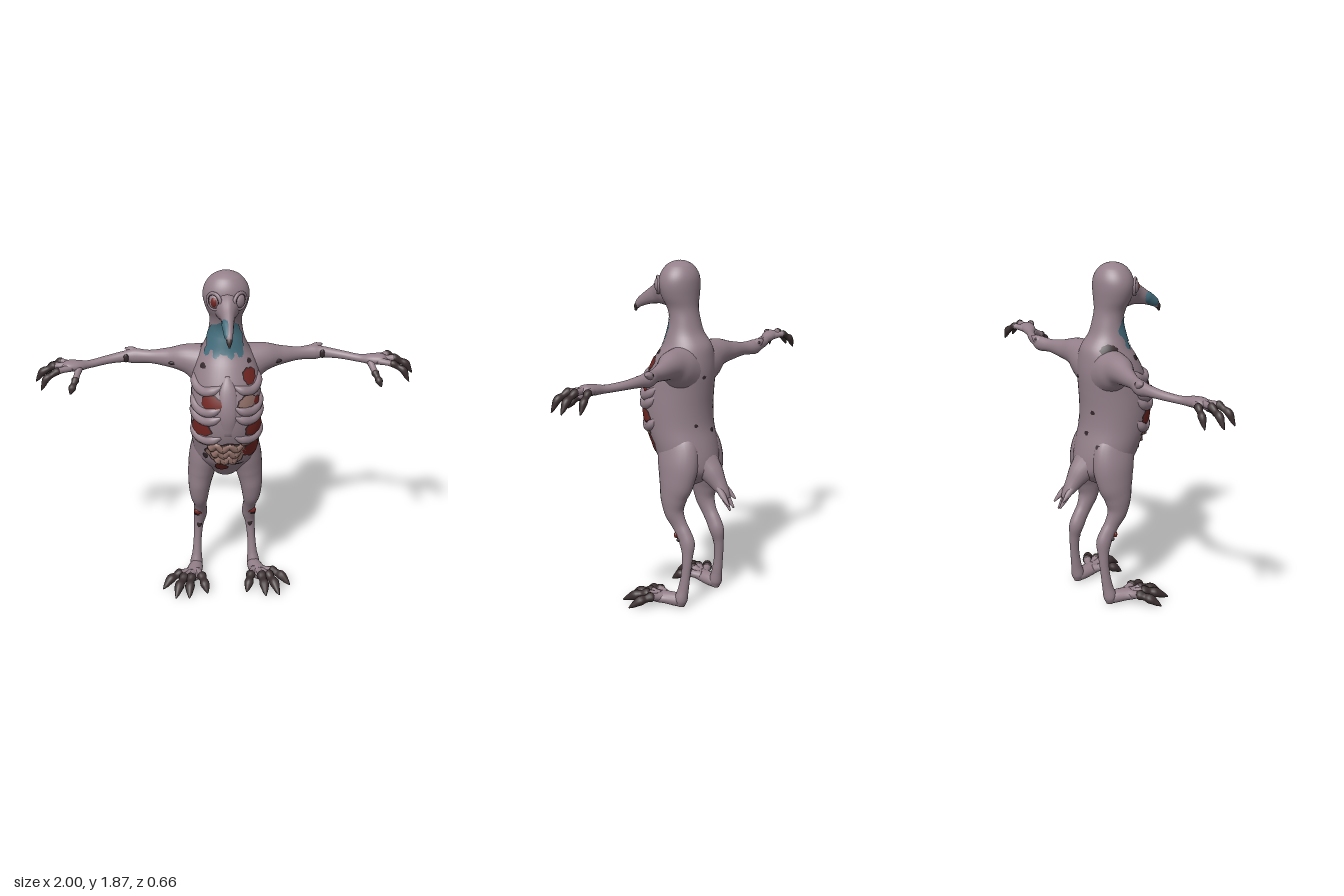
import * as THREE from 'three';

const paint = (name, color) => Object.assign(new THREE.MeshStandardMaterial({ color }), { name });
const skin = paint('mauve skin', 0x94808a);
const claw = paint('dark claw', 0x3c3031);
const teal = paint('teal throat', 0x456e7d);
const flesh = paint('red flesh', 0x732622);
const gut = paint('pale gut', 0x94726a);
const hole = paint('dark hole', 0x33272a);

const Z = new THREE.Vector3(0, 0, 1), Y = new THREE.Vector3(0, 1, 0);

function meshOf(name, geometry, material) {
  const m = new THREE.Mesh(geometry, material);
  m.name = name;
  return m;
}

function build(pos, idx) {
  const g = new THREE.BufferGeometry();
  g.setAttribute('position', new THREE.Float32BufferAttribute(pos, 3));
  g.setIndex(idx);
  g.computeVertexNormals();
  return g;
}

// Smooth closed tube through points [x, y, z, radius, second radius]
function sweep(name, pts, material, ref = Z, seg = 16, sub = 5) {
  const path = new THREE.CatmullRomCurve3(pts.map(p => new THREE.Vector3(p[0], p[1], p[2])));
  const rad = new THREE.CatmullRomCurve3(pts.map(p => new THREE.Vector3(p[3], p[4] ?? p[3], 0)), false, 'catmullrom', 0.4);
  const n = (pts.length - 1) * sub, pos = [], idx = [];
  for (let i = 0; i <= n; i++) {
    const c = path.getPoint(i / n), t = path.getTangent(i / n), r = rad.getPoint(i / n);
    const side = new THREE.Vector3().crossVectors(t, ref).normalize();
    const bin = new THREE.Vector3().crossVectors(side, t);
    for (let j = 0; j < seg; j++) {
      const a = j / seg * Math.PI * 2;
      const p = c.clone().addScaledVector(side, Math.cos(a) * Math.max(r.x, 0.001))
        .addScaledVector(bin, Math.sin(a) * Math.max(r.y, 0.001));
      pos.push(p.x, p.y, p.z);
      if (i < n) {
        const A = i * seg + j, B = i * seg + (j + 1) % seg;
        idx.push(A, A + seg, B, B, A + seg, B + seg);
      }
    }
  }
  const start = pos.length / 3, last = n * seg, e = pts[pts.length - 1];
  pos.push(pts[0][0], pts[0][1], pts[0][2], e[0], e[1], e[2]);
  for (let j = 0; j < seg; j++) {
    const k = (j + 1) % seg;
    idx.push(start, j, k, start + 1, last + k, last + j);
  }
  return meshOf(name, build(pos, idx), material);
}

// Body cross-sections: height, centre z, half width, half depth
const BODY = [
  [0.66, -0.06, 0.01, 0.01], [0.69, -0.055, 0.06, 0.07], [0.75, -0.06, 0.125, 0.13], [0.82, -0.03, 0.165, 0.165],
  [0.9, -0.005, 0.18, 0.175], [1.0, 0.03, 0.186, 0.185], [1.1, 0.04, 0.188, 0.19], [1.2, 0.033, 0.185, 0.19],
  [1.3, 0.01, 0.178, 0.175], [1.38, -0.008, 0.155, 0.153], [1.44, -0.02, 0.125, 0.128], [1.5, -0.008, 0.1, 0.098],
  [1.57, -0.004, 0.086, 0.08], [1.63, 0.01, 0.086, 0.083], [1.69, 0.025, 0.108, 0.098], [1.75, 0.03, 0.12, 0.104],
  [1.8, 0.03, 0.111, 0.098], [1.845, 0.03, 0.079, 0.072], [1.867, 0.03, 0.04, 0.037], [1.875, 0.03, 0.003, 0.003]];

function bodyAt(y) {
  let i = 0;
  while (i < BODY.length - 2 && y > BODY[i + 1][0]) i++;
  const slope = (k, c) => {
    const a = BODY[Math.max(k - 1, 0)], b = BODY[Math.min(k + 1, BODY.length - 1)];
    return (b[c] - a[c]) / (b[0] - a[0]);
  };
  const p = BODY[i], q = BODY[i + 1], h = q[0] - p[0], t = (y - p[0]) / h, t2 = t * t, t3 = t2 * t;
  return [1, 2, 3].map(c => (2 * t3 - 3 * t2 + 1) * p[c] + (t3 - 2 * t2 + t) * h * slope(i, c)
    + (3 * t2 - 2 * t3) * q[c] + (t3 - t2) * h * slope(i + 1, c));
}

// Point on the body; angle 0 is the front, positive towards +x
function onBody(angle, y, off = 0) {
  const [zc, rx, rz] = bodyAt(y);
  return [(rx + off) * Math.sin(angle), y, zc + (rz + off) * Math.cos(angle)];
}

function bodyGeometry(seg = 48, sub = 4) {
  const pos = [], idx = [], n = (BODY.length - 1) * sub;
  for (let i = 0; i <= n; i++) {
    const k = Math.min(Math.floor(i / sub), BODY.length - 2);
    const y = THREE.MathUtils.lerp(BODY[k][0], BODY[k + 1][0], i / sub - k);
    for (let j = 0; j < seg; j++) {
      pos.push(...onBody(j / seg * Math.PI * 2, y));
      if (i < n) {
        const a = i * seg + j, b = i * seg + (j + 1) % seg;
        idx.push(a, b, a + seg, b, b + seg, a + seg);
      }
    }
  }
  return build(pos, idx);
}

// Thin ragged patch hugging the body
function patch(name, angle, y, w, h, material, off = 0.004, rough = 0.07) {
  const seg = 32, rings = 5, pos = [...onBody(angle, y, off)], idx = [];
  for (let r = 1; r <= rings; r++) for (let j = 0; j < seg; j++) {
    const a = j / seg * Math.PI * 2;
    const k = r / rings * (1 + rough * Math.sin(3 * a + angle * 7 + y * 20) + rough * 0.8 * Math.sin(8 * a + y * 9));
    pos.push(...onBody(angle + w * k * Math.cos(a), y + h * k * Math.sin(a), off));
    const A = 1 + (r - 1) * seg + j, B = 1 + (r - 1) * seg + (j + 1) % seg;
    if (r === 1) idx.push(0, A, B);
    else idx.push(A - seg, A, B, A - seg, B, B - seg);
  }
  return meshOf(name, build(pos, idx), material);
}

function wound(angle, y, w, h, inner = flesh) {
  const g = new THREE.Group();
  g.name = 'wound';
  g.add(patch('woundRim', angle, y, w * 1.12, h * 1.14, hole, 0.003), patch('woundFlesh', angle, y, w, h, inner, 0.006));
  return g;
}

function blob(name, x, y, z, sx, sy, sz, material) {
  const m = meshOf(name, new THREE.SphereGeometry(1, 18, 12), material);
  m.position.set(x, y, z);
  m.scale.set(sx, sy, sz);
  return m;
}

// Digit with a skin base and a knuckled dark end
function digit(name, a, b, c, d, r, ref) {
  const g = new THREE.Group(), mid = (p, q, t) => p.map((v, i) => v + (q[i] - v) * t);
  g.name = name;
  g.add(sweep(name + 'Base', [[...a, r * 1.1], [...mid(a, b, 0.6), r * 0.9], [...b, r]], skin, ref, 12),
    sweep(name + 'Claw', [[...mid(a, b, 0.85), r * 0.8], [...b, r * 1.15], [...mid(b, c, 0.5), r * 0.85], [...c, r * 1.1],
      [...mid(c, d, 0.6), r * 0.65], [...d, r * 0.15]], claw, ref, 12));
  return g;
}

function limbs(s) {
  const g = new THREE.Group(), m = pts => pts.map(([x, ...rest]) => [s * x, ...rest]), p = (x, y, z) => [s * x, y, z];
  g.name = s > 0 ? 'leftLimbs' : 'rightLimbs';
  // Arm and hand
  g.add(sweep('arm', m([[0.04, 1.31, -0.05, 0.13, 0.105], [0.12, 1.335, -0.055, 0.112, 0.096], [0.2, 1.357, -0.065, 0.08, 0.074],
    [0.3, 1.355, -0.09, 0.052, 0.046], [0.4, 1.352, -0.112, 0.036, 0.03], [0.48, 1.35, -0.13, 0.041, 0.035],
    [0.53, 1.35, -0.125, 0.031, 0.028], [0.62, 1.345, -0.1, 0.023, 0.024], [0.72, 1.34, -0.055, 0.021, 0.022],
    [0.78, 1.345, -0.03, 0.028, 0.038], [0.83, 1.35, -0.02, 0.026, 0.042], [0.86, 1.35, -0.015, 0.008, 0.02]]), skin, Z, 24));
  g.add(sweep('elbowSpur', m([[0.47, 1.36, -0.13, 0.03], [0.5, 1.375, -0.148, 0.022], [0.53, 1.385, -0.158, 0.004]]), skin),
    blob('elbowWound', s * 0.525, 1.35, -0.1, 0.014, 0.024, 0.008, hole),
    blob('elbowTear', s * 0.485, 1.375, -0.155, 0.016, 0.012, 0.012, hole),
    blob('upperArmScar', s * 0.27, 1.345, -0.032, 0.03, 0.012, 0.008, hole));
  g.add(digit('finger', p(0.8, 1.345, -0.045), p(0.87, 1.352, -0.075), p(0.92, 1.32, -0.09), p(0.95, 1.265, -0.095), 0.018, Z),
    digit('finger', p(0.82, 1.35, -0.02), p(0.9, 1.352, -0.02), p(0.96, 1.32, -0.018), p(0.998, 1.265, -0.018), 0.019, Z),
    digit('finger', p(0.81, 1.345, 0), p(0.88, 1.345, 0.04), p(0.935, 1.315, 0.06), p(0.965, 1.255, 0.075), 0.018, Z),
    digit('thumb', p(0.77, 1.335, -0.01), p(0.787, 1.3, 0.055), p(0.803, 1.27, 0.09), p(0.815, 1.24, 0.105), 0.018, Z));
  // Leg
  g.add(sweep('leg', m([[0.09, 0.97, 0, 0.05, 0.08], [0.1, 0.89, -0.03, 0.076, 0.118], [0.115, 0.8, -0.045, 0.083, 0.12],
    [0.132, 0.7, -0.045, 0.074, 0.102],
    [0.143, 0.62, -0.035, 0.062, 0.078], [0.145, 0.54, -0.038, 0.05, 0.056], [0.14, 0.47, -0.07, 0.036, 0.044],
    [0.138, 0.42, -0.1, 0.036, 0.043], [0.138, 0.37, -0.122, 0.037, 0.043], [0.147, 0.3, -0.13, 0.027, 0.03],
    [0.155, 0.2, -0.125, 0.023, 0.026], [0.16, 0.11, -0.112, 0.027, 0.03], [0.165, 0.05, -0.1, 0.035, 0.036],
    [0.165, 0.012, -0.095, 0.022, 0.025]]), skin, Z, 24));
  g.add(blob('kneeWound', s * 0.152, 0.415, -0.064, 0.024, 0.02, 0.014, flesh),
    blob('kneeWoundRim', s * 0.15, 0.391, -0.082, 0.026, 0.013, 0.014, hole),
    blob('shinScar', s * 0.145, 0.31, -0.103, 0.014, 0.024, 0.007, hole));
  // Foot and toes
  g.add(sweep('foot', m([[0.16, 0.045, -0.12, 0.02], [0.166, 0.042, -0.08, 0.038, 0.036], [0.18, 0.045, -0.02, 0.045, 0.034],
    [0.2, 0.045, 0.04, 0.05, 0.028], [0.21, 0.04, 0.075, 0.02, 0.012]]), skin, Y));
  g.add(digit('toe', p(0.165, 0.05, 0), p(0.14, 0.06, 0.06), p(0.125, 0.045, 0.12), p(0.11, 0.012, 0.165), 0.024, Y),
    digit('toe', p(0.19, 0.05, 0.02), p(0.2, 0.065, 0.08), p(0.21, 0.05, 0.145), p(0.215, 0.012, 0.21), 0.025, Y),
    digit('toe', p(0.2, 0.05, 0.02), p(0.24, 0.065, 0.075), p(0.268, 0.05, 0.135), p(0.29, 0.012, 0.205), 0.025, Y),
    digit('toe', p(0.2, 0.05, 0), p(0.265, 0.062, 0.03), p(0.315, 0.05, 0.065), p(0.36, 0.012, 0.11), 0.024, Y));
  // Eye in a shallow socket; the right one is raw
  const eye = new THREE.Group();
  eye.name = 'eye';
  eye.add(blob('eyeball', 0, 0, 0.002, 0.031, 0.036, 0.018, skin),
    meshOf('eyeRim', new THREE.TorusGeometry(0.042, 0.009, 10, 28), skin),
    meshOf('eyeShadow', new THREE.TorusGeometry(0.034, 0.007, 8, 28), hole));
  if (s < 0) eye.add(blob('rawEye', 0.006, 0, 0.006, 0.021, 0.029, 0.017, flesh));
  eye.position.set(s * 0.065, 1.745, 0.123);
  eye.rotation.y = s * 0.75;
  g.add(eye);
  // Ribs
  [1.27, 1.165, 1.115, 0.995].forEach((y, i) => {
    const pts = [0.2, 0.45, 0.72, 1.0, 1.25, 1.45].map((a, k) =>
      [...onBody(s * a, y + 0.025 - 0.05 * Math.sin(k / 5 * Math.PI) + 0.006 * k, k === 5 ? -0.012 : -0.008), k % 5 ? 0.026 : 0.01]);
    g.add(sweep('rib' + (i + 1), pts, skin, Y, 12));
  });
  return g;
}

export function createModel() {
  const model = new THREE.Group();
  model.name = 'undeadBird';
  model.add(meshOf('body', bodyGeometry(), skin), limbs(1), limbs(-1));
  // Beak with brow and hooked tip, stained on its right side
  model.add(sweep('beak', [[0, 1.715, 0.06, 0.085, 0.09], [0, 1.702, 0.125, 0.062, 0.078], [0, 1.68, 0.185, 0.037, 0.052],
    [0, 1.652, 0.25, 0.026, 0.035], [0, 1.622, 0.3, 0.019, 0.024], [0, 1.6, 0.318, 0.012, 0.014]], skin, Y),
    sweep('beakTip', [[0, 1.618, 0.304, 0.016, 0.018], [0, 1.602, 0.32, 0.014, 0.015], [0, 1.575, 0.328, 0.004, 0.005]], claw, Y),
    sweep('beakStain', [[-0.008, 1.68, 0.2, 0.018, 0.02], [-0.008, 1.664, 0.235, 0.026, 0.032], [-0.007, 1.648, 0.262, 0.023, 0.031],
      [-0.006, 1.626, 0.297, 0.019, 0.023], [-0.005, 1.61, 0.314, 0.008, 0.01]], teal, Y));
  // Throat with ragged lower edge
  model.add(patch('throat', -0.15, 1.53, 1.25, 0.085, teal, 0.004, 0.06));
  for (const a of [-0.95, -0.45, 0.15, 0.6]) model.add(patch('throatFringe', a, 1.46, 0.18, 0.035, teal, 0.0045));
  // Chest openings between the ribs
  model.add(wound(0.75, 1.335, 0.25, 0.037), wound(-0.48, 1.215, 0.3, 0.037), wound(0.6, 1.215, 0.3, 0.03, gut),
    wound(0.95, 1.205, 0.14, 0.02));
  for (const s of [1, -1]) model.add(wound(s * 0.88, 1.057, 0.37, 0.042), wound(s * 0.75, 0.965, 0.4, 0.012, gut));
  model.add(wound(0.8, 0.91, 0.34, 0.048), wound(-0.2, 0.79, 0.22, 0.03), wound(-0.02, 0.905, 0.58, 0.07, gut));
  // Breastbone
  model.add(sweep('breastbone', [[...onBody(0, 1.34, -0.02), 0.02], [...onBody(0, 1.27, -0.012), 0.045, 0.022],
    [...onBody(0, 1.15, -0.01), 0.045, 0.018], [...onBody(0, 1.03, -0.012), 0.03, 0.014]], skin));
  // Coiled gut in the belly
  [0.95, 0.905, 0.86].forEach((y, row) => {
    const pts = [-0.5, -0.33, -0.15, 0.05, 0.25, 0.42].map((a, k) =>
      [...onBody(a * (1 - row * 0.2), y + (k % 2 ? 0.015 : -0.012), -0.004), k % 2 ? 0.018 : 0.026]);
    model.add(sweep('gutCoil', pts, gut, Y, 12));
  });
  // Small holes and cracks in the back, shoulders and belly
  [[-2.0, 1.445, 0.38, 0.024], [2.9, 1.28, 0.07, 0.01], [-2.8, 1.1, 0.07, 0.012], [2.7, 1.02, 0.06, 0.01],
    [3.3, 0.98, 0.08, 0.012], [-2.5, 0.92, 0.07, 0.012], [0.9, 1.4, 0.12, 0.012], [-0.9, 1.38, 0.14, 0.014],
    [0.35, 0.82, 0.2, 0.006], [-0.7, 0.87, 0.1, 0.02]]
    .forEach(([a, y, w, h]) => model.add(patch('smallHole', a, y, w, h, hole)));
  // Tail with split feather tips
  model.add(sweep('tail', [[0, 0.9, -0.06, 0.11, 0.08], [0, 0.82, -0.115, 0.1, 0.08], [0, 0.755, -0.18, 0.066, 0.066],
    [0, 0.69, -0.235, 0.042, 0.042], [0, 0.65, -0.27, 0.034, 0.024], [0, 0.625, -0.29, 0.02, 0.01]], skin, Y));
  [[-0.035, 0.62, -0.315], [-0.012, 0.575, -0.32], [0.014, 0.565, -0.315], [0.04, 0.6, -0.325]].forEach(([x, y, z]) =>
    model.add(sweep('tailFeather', [[x * 0.5, 0.69, -0.235, 0.018], [x * 0.8, (y + 0.69) / 2, (z - 0.235) / 2, 0.017],
      [x, y, z, 0.005]], skin, Y, 10)));
  return model;
}
